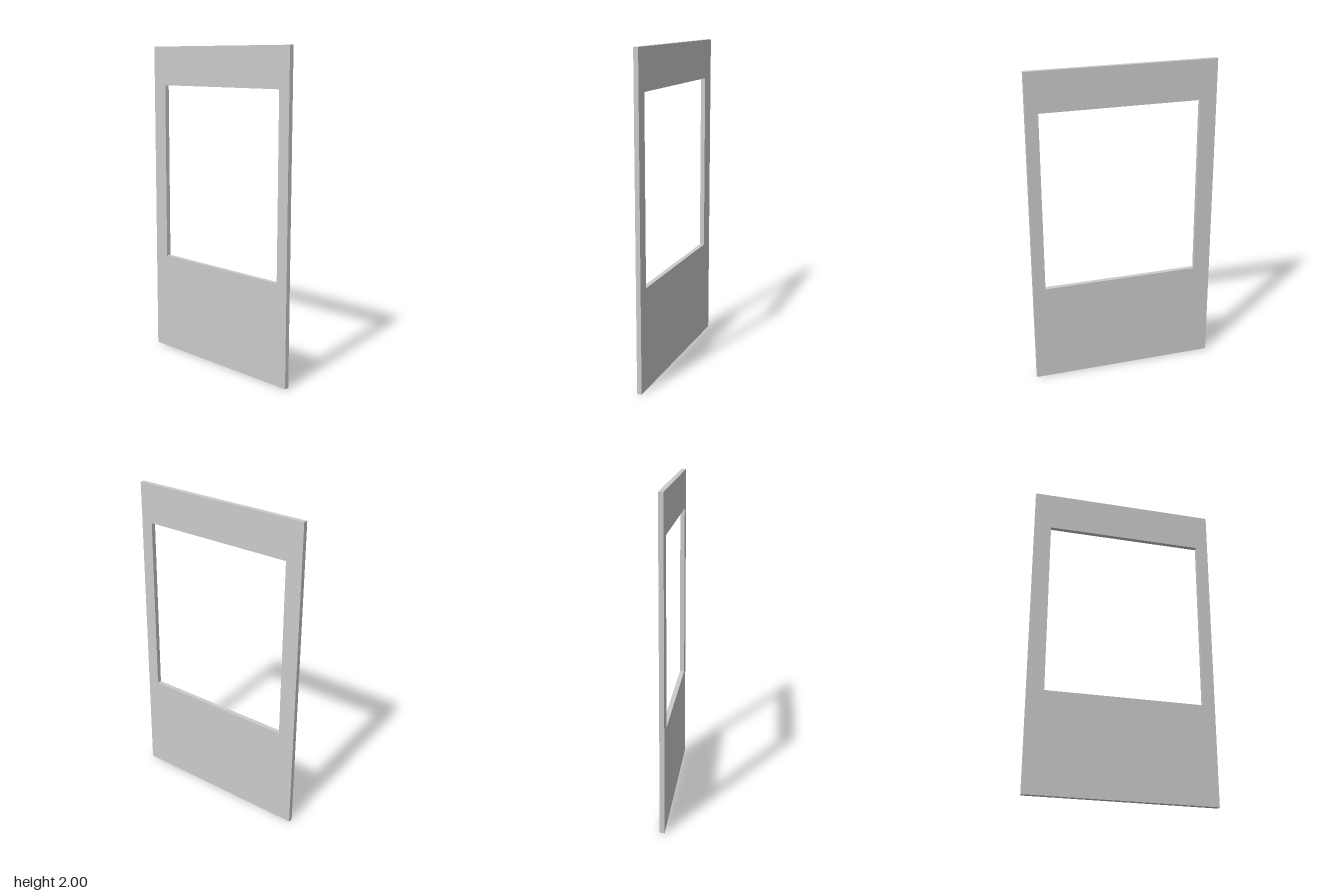
import * as THREE from 'three';

// Rectangle outline added to a shape or hole path
function rect(path, x0, y0, x1, y1) {
  path.moveTo(x0, y0);
  path.lineTo(x1, y0);
  path.lineTo(x1, y1);
  path.lineTo(x0, y1);
  path.closePath();
  return path;
}

export function createModel() {
  const group = new THREE.Group();
  group.name = 'windowPanel';
  const thickness = 0.029;

  // Upright panel with an off-centre window opening
  const outline = rect(new THREE.Shape(), -0.585, 0, 0.585, 2);
  outline.holes.push(rect(new THREE.Path(), -0.48, 0.63, 0.508, 1.755));
  const geometry = new THREE.ExtrudeGeometry(outline, { depth: thickness, bevelEnabled: false });
  geometry.translate(0, 0, -thickness / 2);

  const panel = new THREE.Mesh(geometry, new THREE.MeshStandardMaterial({ color: 0xcccccc }));
  panel.name = 'panel';
  group.add(panel);
  return group;
}
